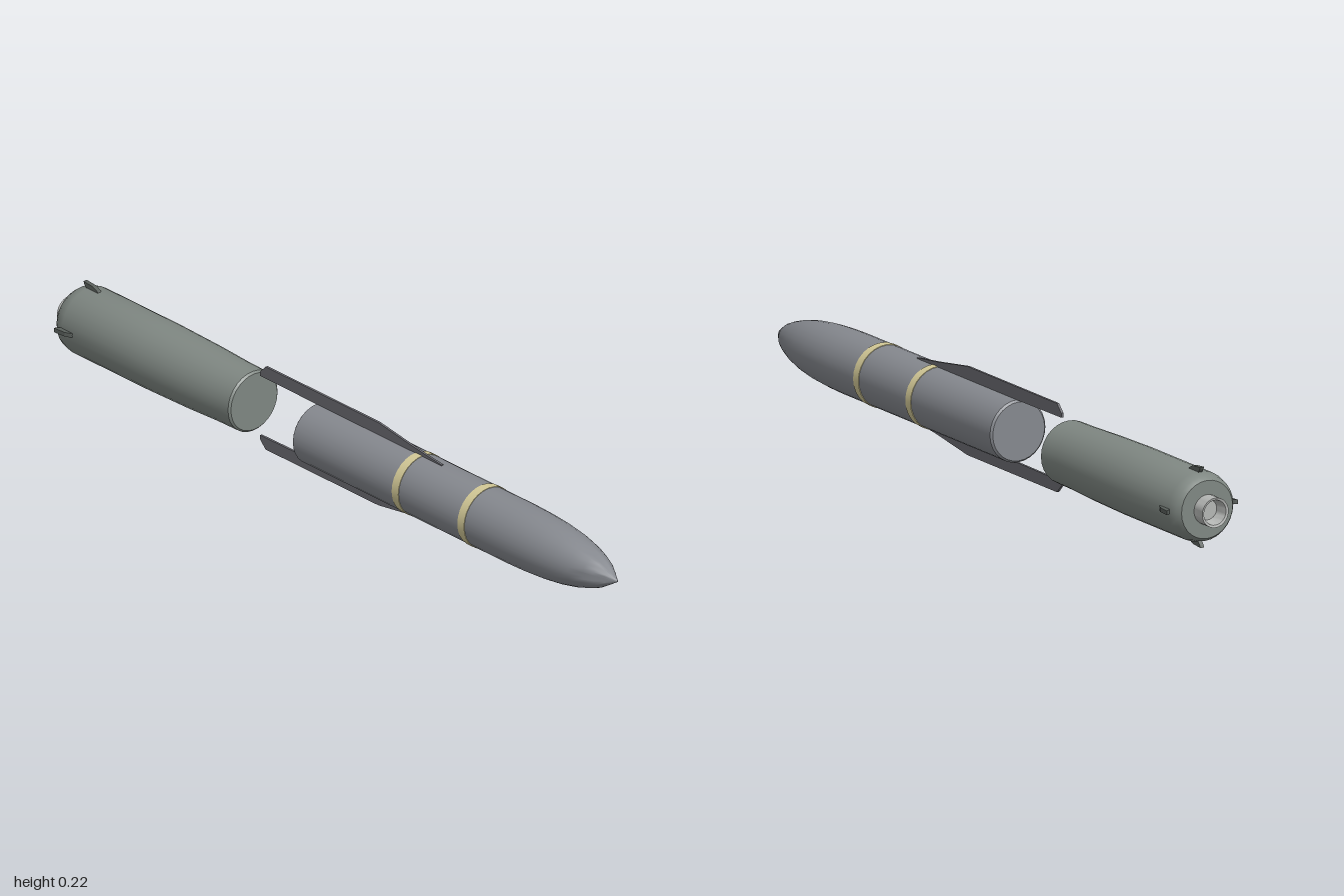
import * as THREE from 'three';
import { toCreasedNormals } from 'three/addons/utils/BufferGeometryUtils.js';

const AXIS_Y = 0.11;
const SIDES = 28;

const paint = (color) => new THREE.MeshStandardMaterial({ color });
const frontPaint = paint(0x85888e);
const rearPaint = paint(0x7f8782);
const bandPaint = paint(0xd2c896);
const nozzlePaint = paint(0xb4b6b4);
const finPaint = paint(0x6a6a70);
const tailPaint = paint(0x5a605c);

// Body of revolution along x; profile entries are [x, radius] from back to front
function turned(name, profile, material) {
  const points = profile.map(([x, r]) => new THREE.Vector2(r, x));
  const geometry = new THREE.LatheGeometry(points, SIDES);
  geometry.rotateZ(-Math.PI / 2);
  const mesh = new THREE.Mesh(toCreasedNormals(geometry, 0.6), material);
  mesh.name = name;
  return mesh;
}

// Flat plate in the x-radius plane, turned about the body axis
function plate(name, outline, thickness, angle, material) {
  const shape = new THREE.Shape(outline.map(([x, r]) => new THREE.Vector2(x, r)));
  const geometry = new THREE.ExtrudeGeometry(shape, { depth: thickness, bevelEnabled: false });
  geometry.translate(0, 0, -thickness / 2);
  const mesh = new THREE.Mesh(geometry, material);
  mesh.rotation.x = angle;
  mesh.name = name;
  return mesh;
}

export function createModel() {
  const model = new THREE.Group();
  model.name = 'twoStageMissile';
  const body = new THREE.Group();
  body.name = 'missileBody';
  body.position.y = AXIS_Y;
  model.add(body);

  // Forward stage with curved nose
  body.add(turned('forwardStage', [
    [-0.1, 0], [-0.1, 0.073], [-0.095, 0.078], [0.27, 0.078], [0.65, 0.078],
    [0.71, 0.0765], [0.77, 0.073], [0.83, 0.066], [0.88, 0.056],
    [0.92, 0.044], [0.945, 0.034], [0.97, 0.019], [1, 0],
  ], frontPaint));

  // Marking bands
  for (const x of [0.278, 0.517]) {
    body.add(turned('markingBand', [
      [x - 0.012, 0.077], [x - 0.012, 0.0795], [x + 0.012, 0.0795], [x + 0.012, 0.077],
    ], bandPaint));
  }

  // Long strakes reaching back across the gap
  const strake = [
    [-0.3, 0.079], [0.36, 0.074], [0.36, 0.08], [0.27, 0.09],
    [0.13, 0.11], [-0.28, 0.11], [-0.3, 0.09],
  ];
  for (const angle of [0, Math.PI]) {
    body.add(plate('longStrake', strake, 0.006, angle, finPaint));
  }

  // Booster stage
  body.add(turned('boosterStage', [
    [-0.962, 0], [-0.962, 0.072], [-0.95, 0.081], [-0.925, 0.087], [-0.65, 0.087],
    [-0.5, 0.084], [-0.4, 0.08], [-0.33, 0.079], [-0.325, 0.074], [-0.325, 0],
  ], rearPaint));

  // Hollow exhaust nozzle
  body.add(turned('exhaustNozzle', [
    [-0.965, 0], [-0.965, 0.025], [-0.998, 0.031], [-1, 0.037], [-0.955, 0.037],
  ], nozzlePaint));

  // Small swept tail fins
  const tailFin = [
    [-0.925, 0.08], [-0.885, 0.083], [-0.89, 0.09], [-0.905, 0.097],
    [-0.94, 0.1], [-0.937, 0.094],
  ];
  for (let i = 0; i < 4; i++) {
    body.add(plate('tailFin', tailFin, 0.011, i * Math.PI / 2, tailPaint));
  }

  return model;
}
